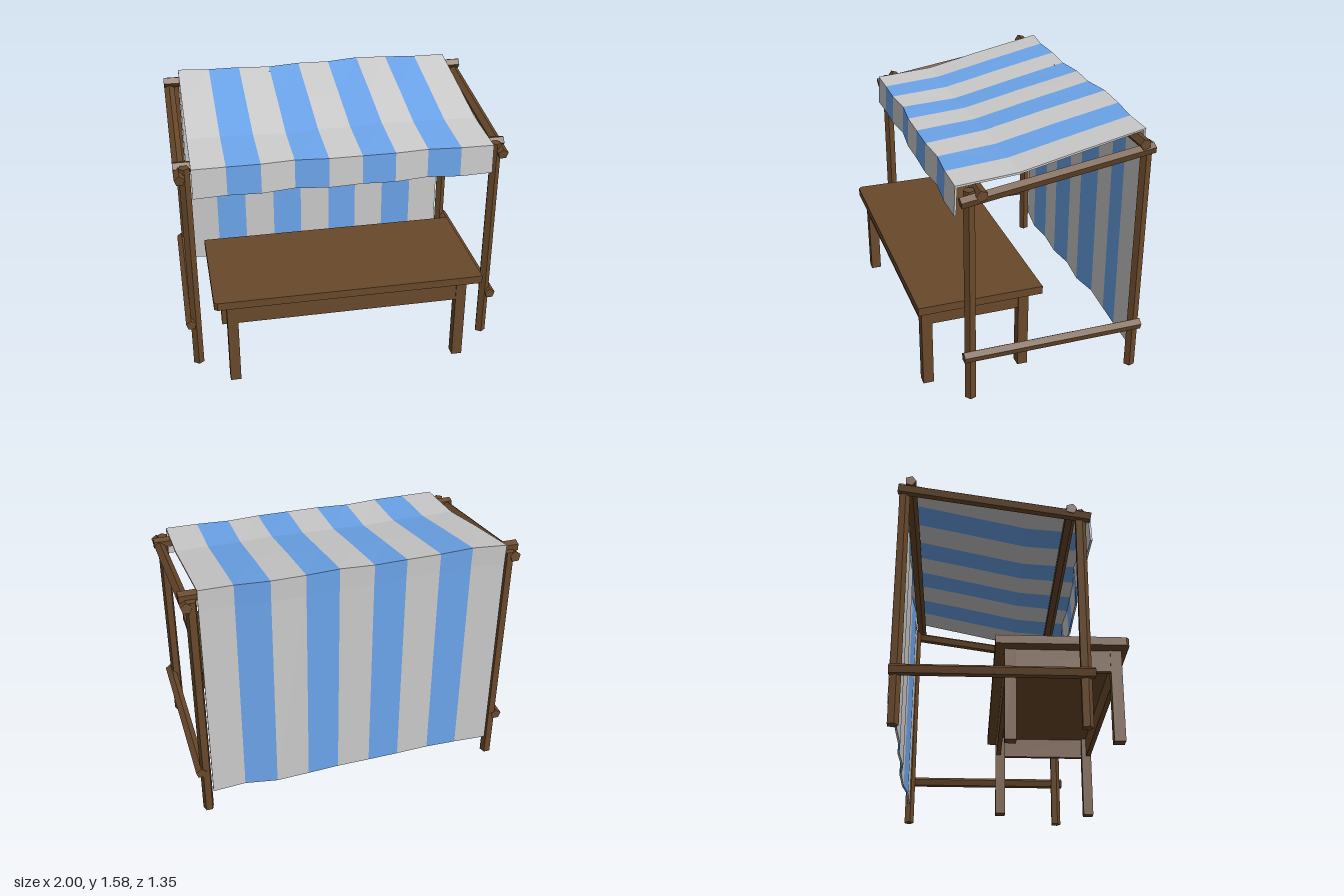
import * as THREE from 'three';

const wood = new THREE.MeshStandardMaterial({ color: 0x69492b, flatShading: true });
const grey = new THREE.MeshStandardMaterial({ color: 0xcccccc, flatShading: true, side: THREE.DoubleSide });
const blue = new THREE.MeshStandardMaterial({ color: 0x6ca5eb, flatShading: true, side: THREE.DoubleSide });

// Five-sided rough pole between two points
function pole(name, a, b, r = 0.034) {
  const from = new THREE.Vector3(...a), to = new THREE.Vector3(...b);
  const dir = to.clone().sub(from);
  const mesh = new THREE.Mesh(new THREE.CylinderGeometry(r, r, dir.length(), 5), wood);
  mesh.position.copy(from).add(to).multiplyScalar(0.5);
  mesh.quaternion.setFromUnitVectors(new THREE.Vector3(0, 1, 0), dir.normalize());
  mesh.name = name;
  return mesh;
}

// Box given by its lower and upper corners
function board(name, [x0, y0, z0], [x1, y1, z1]) {
  const mesh = new THREE.Mesh(new THREE.BoxGeometry(x1 - x0, y1 - y0, z1 - z0), wood);
  mesh.position.set((x0 + x1) / 2, (y0 + y1) / 2, (z0 + z1) / 2);
  mesh.name = name;
  return mesh;
}

function buildFrame() {
  const frame = new THREE.Group();
  frame.name = 'frame';
  for (const [side, s] of [['left', 1], ['right', -1]]) {
    const x = 0.936 * s, xr = 0.967 * s;
    frame.add(
      pole(side + 'FrontPost', [x, 0, 0.4], [x, 1.37, 0.4]),
      pole(side + 'BackPost', [x, 0, -0.637], [x, 1.51, -0.637]),
      pole(side + 'LowerRail', [xr, 0.31, 0.45], [xr, 0.31, -0.67]),
      pole(side + 'RoofRail', [xr, 1.315, 0.46], [xr, 1.482, -0.67])
    );
  }
  frame.add(
    pole('frontBeam', [-1, 1.352, 0.345], [1, 1.352, 0.345]),
    pole('backBeam', [-1, 1.518, -0.6], [1, 1.518, -0.6])
  );
  return frame;
}

function buildTable() {
  const table = new THREE.Group();
  table.name = 'table';

  // Top with one worn corner
  const outline = new THREE.Shape([[-0.83, 0.09], [-0.83, -0.655], [-0.81, -0.672], [0.82, -0.672], [0.82, 0.09]]
    .map(p => new THREE.Vector2(...p)));
  const top = new THREE.Mesh(new THREE.ExtrudeGeometry(outline, { depth: 0.05, bevelEnabled: false }), wood);
  top.rotation.x = -Math.PI / 2;
  top.position.y = 0.55;
  top.name = 'tableTop';
  table.add(top);

  // Legs and the side aprons between them
  for (const x of [-0.755, 0.67]) {
    for (const z of [-0.035, 0.57]) table.add(board('tableLeg', [x, 0, z], [x + 0.065, 0.55, z + 0.065]));
    const xa = x < 0 ? x + 0.005 : x + 0.03;
    table.add(board('sideApron', [xa, 0.42, 0.02], [xa + 0.03, 0.55, 0.58]));
  }
  // Long aprons
  for (const z of [-0.03, 0.6]) table.add(board('longApron', [-0.7, 0.42, z], [0.68, 0.55, z + 0.03]));
  return table;
}

function buildCloth() {
  const cloth = new THREE.Group();
  cloth.name = 'awning';
  const t = 0.012;
  // Slight waves at each of the ten seams
  const back = [-0.673, -0.647, -0.655, -0.647, -0.663, -0.65, -0.673, -0.667, -0.647, -0.647];
  const front = [0.467, 0.465, 0.465, 0.447, 0.465, 0.465, 0.465, 0.45, 0.465, 0.467];
  const lift = [0, 0, -0.003, -0.009, -0.002, 0, 0.007, 0.002, 0, 0];

  // Valance, roof and back curtain in section: outer and inner line
  const section = i => {
    const f = front[i], b = back[i], l = lift[i], hem = i % 2 ? -0.008 : 0.005;
    const outer = [[f + 0.008, 1.203 - hem * 0.5], [f, 1.385], [0.1, 1.412 + l], [-0.26, 1.49 + l],
      [b, 1.571 + l], [b + 0.004, 1.44], [b, 0.137 + hem]];
    const inset = [[-t, 0], [-t, -t], [0, -t], [0, -t], [t, -t], [t, 0], [t, 0]];
    const inner = outer.map(([z, y], j) => [z + inset[j][0], y + inset[j][1]]);
    return { outer, inner, loop: [...outer, ...inner.reverse()] };
  };

  for (let i = 0; i < 9; i++) {
    const pos = [];
    const quad = (a, b, c, d) => pos.push(...a, ...b, ...c, ...a, ...c, ...d);
    const at = k => section(k).loop.map(([z, y]) => [-0.9 + 0.2 * k, y, z]);
    const A = at(i), B = at(i + 1), n = A.length;
    for (let j = 0; j < n; j++) {
      const k = (j + 1) % n;
      quad(A[j], B[j], B[k], A[k]);
    }
    // Close the two outer edges of the cloth
    for (let j = 0; j < n / 2 - 1; j++) {
      const m = n - 1 - j;
      if (i === 0) quad(A[j], A[j + 1], A[m - 1], A[m]);
      if (i === 8) quad(B[j], B[m], B[m - 1], B[j + 1]);
    }
    const geo = new THREE.BufferGeometry();
    geo.setAttribute('position', new THREE.Float32BufferAttribute(pos, 3));
    geo.computeVertexNormals();
    const stripe = new THREE.Mesh(geo, i % 2 ? blue : grey);
    stripe.name = i % 2 ? 'blueStripe' : 'greyStripe';
    cloth.add(stripe);
  }
  return cloth;
}

export function createModel() {
  const model = new THREE.Group();
  model.name = 'marketStall';
  model.add(buildFrame(), buildTable(), buildCloth());
  return model;
}
